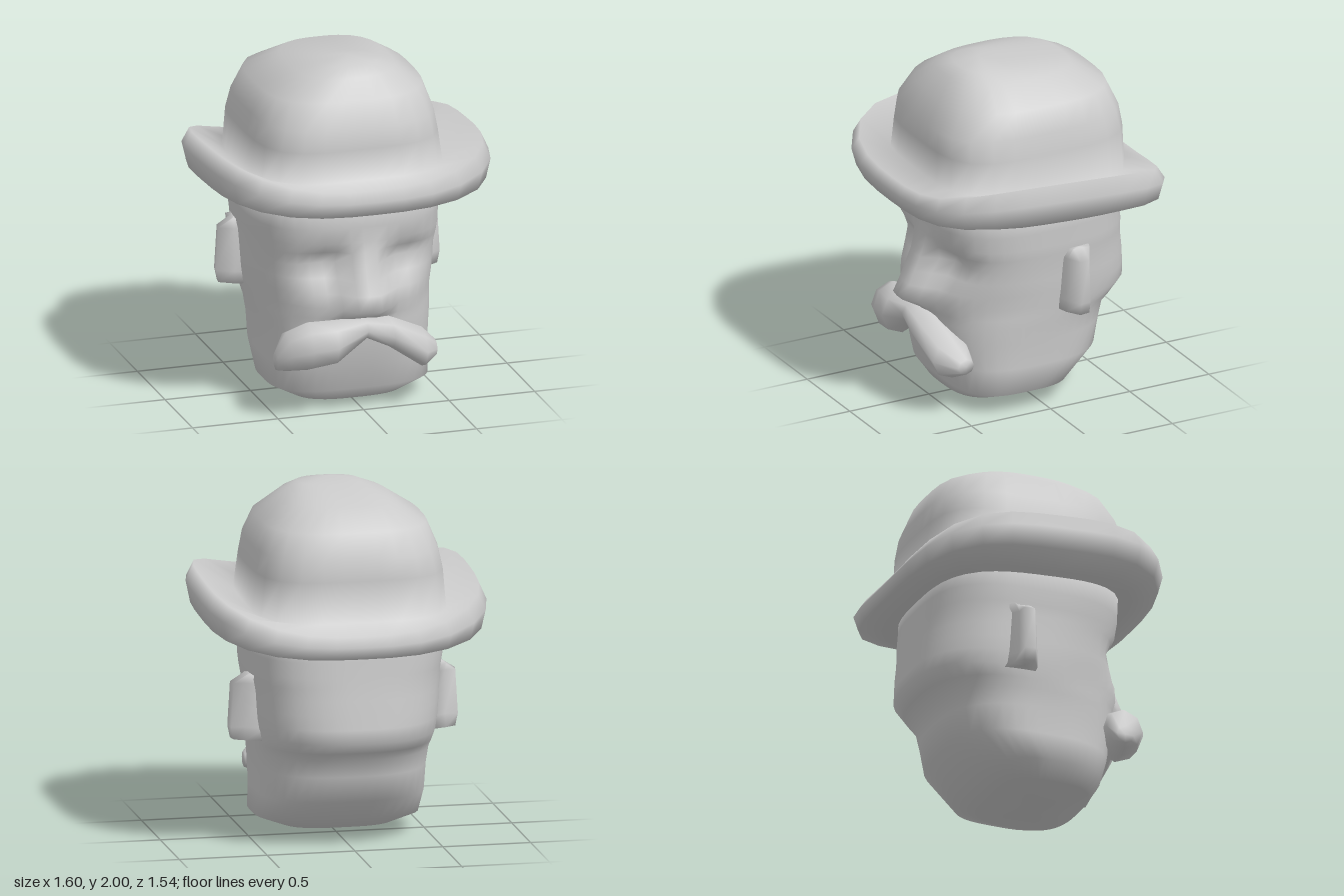
import * as THREE from 'three';

const material = new THREE.MeshStandardMaterial({ color: 0xcccccc, side: THREE.DoubleSide });

// Skin a stack of equal-length rings and cap both ends
function loft(name, rings) {
  const n = rings[0].length, m = rings.length;
  const pts = rings.flat(), index = [];
  for (let i = 0; i < m - 1; i++) {
    const a = i * n, b = a + n;
    for (let j = 0; j < n; j++) {
      const k = (j + 1) % n;
      index.push(a + j, a + k, b + k, a + j, b + k, b + j);
    }
  }
  for (const [row, last] of [[0, false], [m - 1, true]]) {
    const c = new THREE.Vector3();
    rings[row].forEach((p) => c.addScaledVector(p, 1 / n));
    c.y += rings[row].capLift || 0;
    const ci = pts.push(c) - 1, o = row * n;
    for (let j = 0; j < n; j++) {
      const k = (j + 1) % n;
      index.push(ci, o + (last ? j : k), o + (last ? k : j));
    }
  }
  const g = new THREE.BufferGeometry().setFromPoints(pts);
  g.setIndex(index);
  g.computeVertexNormals();
  const mesh = new THREE.Mesh(g, material);
  mesh.name = name;
  return mesh;
}

// Rounded-square ring of n points at height y, spanning xl..xr and zb..zf
function ring(n, y, xl, xr, zf, zb, power, capLift = 0) {
  const out = [];
  for (let j = 0; j < n; j++) {
    const a = (j / n) * Math.PI * 2, s = Math.sin(a), c = Math.cos(a);
    const r = (Math.abs(s) ** power + Math.abs(c) ** power) ** (-1 / power);
    out.push(new THREE.Vector3(
      (xl + xr) / 2 + (r * s * (xr - xl)) / 2, y,
      (zf + zb) / 2 + (r * c * (zf - zb)) / 2));
  }
  out.capLift = capLift;
  return out;
}

const bump = (p, x, y, rx, ry) => Math.exp(-(((p.x - x) / rx) ** 2) - ((p.y - y) / ry) ** 2);

export function createModel() {
  const group = new THREE.Group();

  // Head: heavy jaw, fuller at the back of the skull
  const headRings = [
    [0.055, -0.34, 0.31, 0.42, -0.12, 3, -0.05],
    [0.12, -0.47, 0.46, 0.455, -0.23, 3.3],
    [0.27, -0.48, 0.465, 0.51, -0.43, 2.9],
    [0.42, -0.49, 0.475, 0.54, -0.47, 2.7],
    [0.52, -0.505, 0.485, 0.55, -0.5, 2.6],
    [0.575, -0.515, 0.49, 0.55, -0.565, 2.6],
    [0.64, -0.525, 0.495, 0.55, -0.63, 2.6],
    [0.72, -0.535, 0.505, 0.54, -0.62, 2.7],
    [0.8, -0.54, 0.51, 0.54, -0.61, 2.8],
    [0.88, -0.545, 0.515, 0.54, -0.6, 2.8],
    [0.95, -0.55, 0.525, 0.545, -0.59, 2.9],
    [1.01, -0.555, 0.53, 0.55, -0.585, 3],
    [1.1, -0.57, 0.53, 0.55, -0.575, 3.1],
    [1.28, -0.58, 0.54, 0.55, -0.56, 3.3],
  ].map((r) => ring(48, ...r));

  // Face: eye sockets under the brow, cheeks, and a wedge nose with a blunt tip
  for (const p of headRings.flat()) {
    if (p.z < 0.15) continue;
    const down = THREE.MathUtils.clamp((1 - p.y) / 0.36, 0, 1);
    const depth = 0.145 * down * THREE.MathUtils.clamp((p.y - 0.56) / 0.07, 0, 1);
    const across = Math.max(0, 1 - Math.max(0, Math.abs(p.x) - 0.07) / (0.04 + 0.09 * down));
    for (const side of [-1, 1]) {
      p.z -= 0.085 * (1 - across) * bump(p, side * 0.22, 0.88, 0.15, 0.09);
      p.z += 0.03 * bump(p, side * 0.28, 0.68, 0.13, 0.08);
    }
    p.z += depth * across;
  }
  group.add(loft('head', headRings));

  // Moustache: uneven drooping lobes; x, centre y, half height, centre z, half depth
  const moustache = [
    [-0.51, 0.34, 0.05, 0.49, 0.05],
    [-0.455, 0.4, 0.115, 0.51, 0.11],
    [-0.34, 0.43, 0.14, 0.54, 0.13],
    [-0.2, 0.445, 0.13, 0.56, 0.13],
    [-0.02, 0.52, 0.06, 0.57, 0.09],
    [0.13, 0.475, 0.09, 0.56, 0.125],
    [0.33, 0.355, 0.115, 0.53, 0.12],
    [0.42, 0.33, 0.045, 0.49, 0.05],
  ].map(([x, y, h, z, d]) => Array.from({ length: 8 }, (_, j) => {
    const a = (j / 8) * Math.PI * 2;
    return new THREE.Vector3(x, y + h * Math.cos(a), z + d * Math.sin(a));
  }));
  group.add(loft('moustache', moustache));

  // Ears: flaps standing out from the head, hollow behind
  for (const side of [-1, 1]) {
    const rows = [[0.6, 0.63, -0.05, 0], [0.67, 0.645, -0.05, 0.03], [0.92, 0.63, -0.06, 0.03], [0.97, 0.55, -0.09, 0]];
    const ear = rows.map(([y, x, z, hollow]) => {
      const sec = [[0.46, z], [0.55, z - 0.02], [x, -0.12], [x - 0.01, -0.18], [0.56, -0.215 + hollow], [0.46, -0.25]]
        .map(([px, pz]) => new THREE.Vector3(side * px - 0.02 * (side < 0), y + 0.02 * (side < 0), pz));
      return side > 0 ? sec : sec.reverse();
    });
    group.add(loft(side > 0 ? 'leftEar' : 'rightEar', ear));
  }

  // Hat brim: thick edge, curled up at both sides and tipped back; scale, height, side lift, tilt
  const brim = [
    [0.64, 1.19, 0, 0.055],
    [0.8, 1.185, 0.02, 0.055],
    [0.97, 1.195, 0.08, 0.055],
    [1, 1.27, 0.12, 0.06],
    [0.95, 1.325, 0.18, 0.065],
  ].map(([s, y, lift, tilt]) => {
    const r = ring(32, y, -0.8 * s, 0.8 * s, 0.77 * s, -0.77 * s, 3.4);
    for (const p of r) p.y += tilt * p.z + lift * Math.abs(p.x / 0.8) ** 2.5;
    return r;
  });

  // Hat crown: rounded square dome growing out of the brim, highest towards the front
  const crown = [
    [1.355, -0.575, 0.535, 0.57, -0.585, 3.8],
    [1.56, -0.555, 0.51, 0.555, -0.58, 3.8],
    [1.68, -0.53, 0.49, 0.55, -0.565, 3.6],
    [1.82, -0.475, 0.445, 0.475, -0.51, 3.2],
    [1.93, -0.3, 0.29, 0.4, -0.33, 2.8],
    [1.972, -0.17, 0.18, 0.32, 0.06, 2.4, 0.028],
  ].map((r) => ring(32, ...r));
  for (const p of crown[0]) p.y += 0.05 * p.z;
  group.add(loft('hat', [...brim, ...crown]));

  return group;
}
